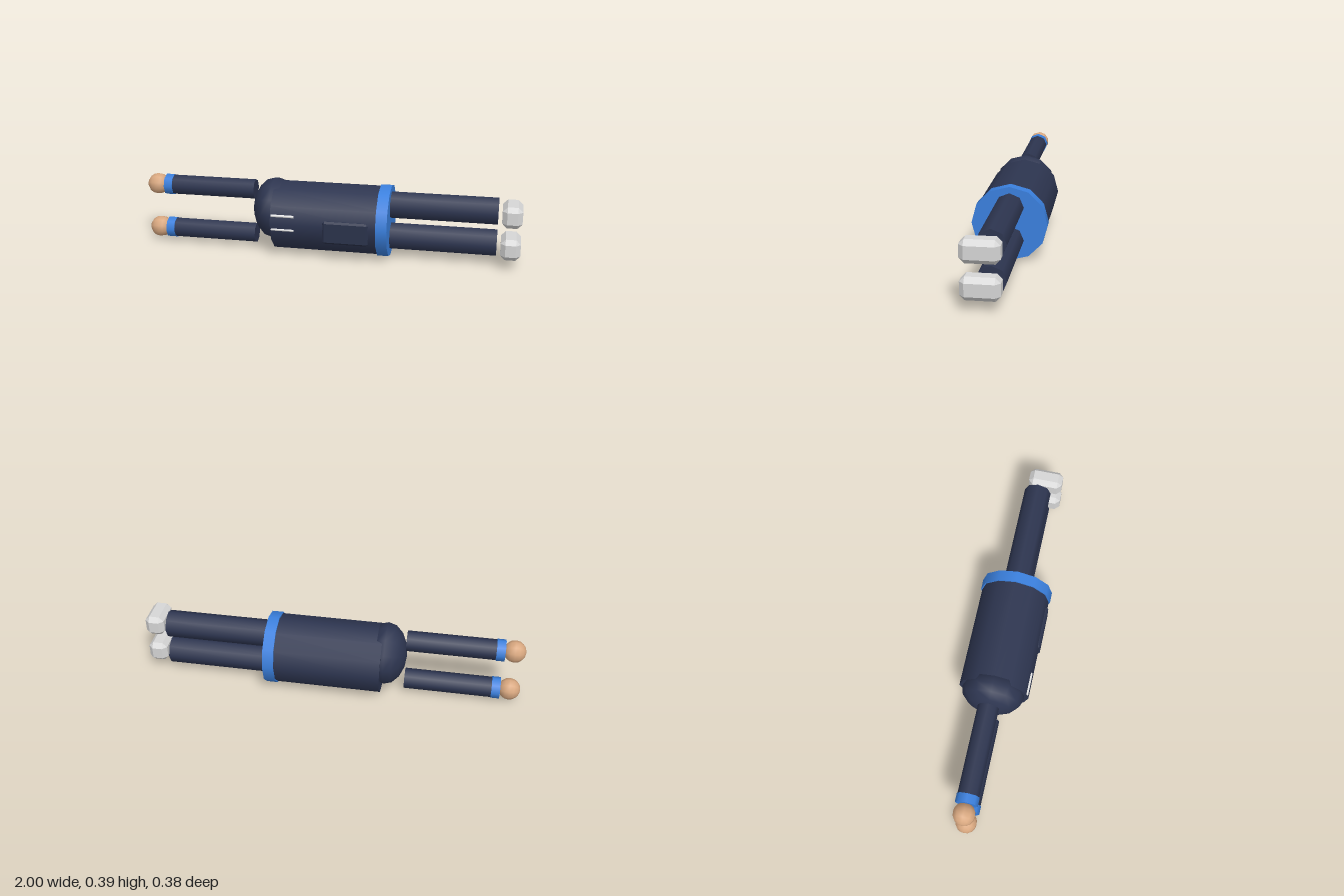
import * as THREE from 'three';
import { ConvexGeometry } from 'three/addons/geometries/ConvexGeometry.js';

const material = (name, color, flatShading = false) => {
  const m = new THREE.MeshStandardMaterial({ color, flatShading });
  m.name = name;
  return m;
};

// Cylinder lying along x between two positions
function rod(x0, x1, radius, sides) {
  return new THREE.CylinderGeometry(radius, radius, x1 - x0, sides)
    .rotateZ(Math.PI / 2).translate((x0 + x1) / 2, 0, 0);
}

// Box with every edge chamfered by c
function chamferBox(w, h, d, c) {
  const points = [];
  for (const sx of [-1, 1]) for (const sy of [-1, 1]) for (const sz of [-1, 1]) {
    const full = new THREE.Vector3(w / 2, h / 2, d / 2);
    for (const axis of ['x', 'y', 'z']) {
      const p = full.clone().subScalar(c);
      p[axis] += c;
      points.push(p.multiply(new THREE.Vector3(sx, sy, sz)));
    }
  }
  return new ConvexGeometry(points);
}

export function createModel() {
  const group = new THREE.Group();
  const navy = material('navy cloth', 0x2d3550);
  const blue = material('blue trim', 0x3a80de);
  const skin = material('skin', 0xd9a880);
  const grey = material('light grey shoe', 0xd6d6d6, true);
  const pocketNavy = material('pocket navy', 0x2a324b, true);
  const white = material('white cord', 0xe8e8e8);

  const add = (name, geometry, mat, x, y, z) => {
    const mesh = new THREE.Mesh(geometry, mat);
    mesh.name = name;
    mesh.position.set(x, y, z);
    group.add(mesh);
  };

  // Torso, hem band and flattened hood
  add('torso', rod(-0.275, 0.325, 0.183, 12), navy, 0, 0.19, 0);
  add('hem', rod(0.275, 0.333, 0.19, 12), blue, 0, 0.19, 0);
  const hood = new THREE.SphereGeometry(1, 12, 8).rotateZ(Math.PI / 2).scale(0.11, 0.163, 0.163);
  add('hood', hood, navy, -0.29, 0.223, 0);

  // Front pocket and drawstrings
  add('pocket', chamferBox(0.236, 0.12, 0.05, 0.01), pocketNavy, 0.12, 0.161, 0.164);
  for (const y of [0.158, 0.232]) add('drawstring', rod(-0.27, -0.15, 0.007, 8), white, 0, y, 0.173);

  // Arms with cuffs and hands
  for (const y of [0.072, 0.317]) {
    add('arm', rod(-0.87, -0.395, 0.054, 8), navy, 0, y, 0);
    add('cuff', rod(-0.895, -0.85, 0.057, 8), blue, 0, y, 0);
    add('hand', new THREE.SphereGeometry(0.057, 10, 8).rotateZ(Math.PI / 2), skin, -0.943, y, 0);
  }

  // Legs and shoes
  for (const y of [0.106, 0.276]) {
    add('leg', rod(0.3, 0.88, 0.072, 8), navy, 0, y, 0);
    add('shoe', chamferBox(0.1, 0.11, 0.183, 0.024), grey, 0.95, y, 0.032);
  }
  return group;
}
